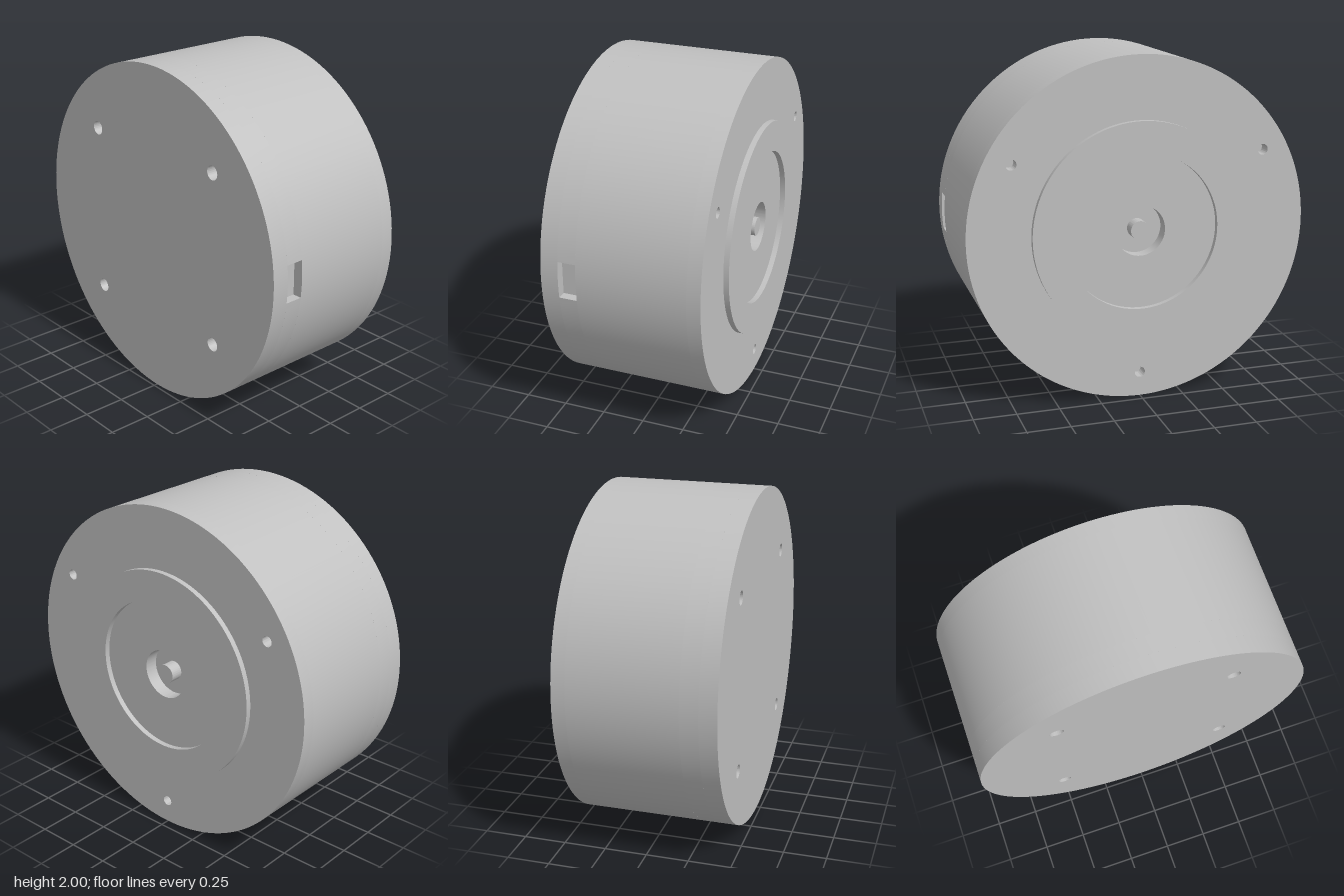
import * as THREE from 'three';
import { toCreasedNormals } from 'three/addons/utils/BufferGeometryUtils.js';

const Z = { rim: -0.477, back: -0.445, cavity: -0.365, slotBack: 0.27, slotFront: 0.375, front: 0.477 };

export function createModel() {
  const model = new THREE.Group();
  model.name = 'roundHousing';
  const grey = new THREE.MeshStandardMaterial({ color: 0xc0c0c0 });
  grey.name = 'plain grey';

  // Disc with round holes given as [x, y, radius]
  const disc = (radius, holes = []) => {
    const shape = new THREE.Shape().absarc(0, 0, radius, 0, Math.PI * 2, false);
    for (const [x, y, r] of holes) {
      shape.holes.push(new THREE.Path().absarc(x, y, r, 0, Math.PI * 2, true));
    }
    return shape;
  };

  // Extrude an outline between two depths, with crisp edges and smooth walls
  const slab = (name, shape, z0, z1) => {
    const geo = new THREE.ExtrudeGeometry(shape, { depth: z1 - z0, bevelEnabled: false, curveSegments: 64 });
    geo.translate(0, 1, z0);
    const mesh = new THREE.Mesh(toCreasedNormals(geo, 0.5), grey);
    mesh.name = name;
    model.add(mesh);
  };

  // Back plate: three screw holes around a central cavity
  const backHoles = [[0, 0, 0.147]];
  for (const degrees of [30, 150, 270]) {
    const a = THREE.MathUtils.degToRad(degrees);
    backHoles.push([0.855 * Math.cos(a), 0.855 * Math.sin(a), 0.031]);
  }
  slab('backPlate', disc(1, backHoles), Z.back, Z.cavity);

  // Solid middle of the drum
  slab('drumBody', disc(1), Z.cavity, Z.slotBack);

  // Layer with a rectangular port notched into its side
  const half = 0.11;
  const a = Math.asin(half);
  const notched = new THREE.Shape();
  notched.absarc(0, 0, 1, a, Math.PI * 2 - a, false);
  notched.lineTo(0.94, -half);
  notched.lineTo(0.94, half);
  notched.closePath();
  slab('portLayer', notched, Z.slotBack, Z.slotFront);

  // Front plate with four mounting holes
  const frontHoles = [];
  for (const x of [-0.515, 0.515]) for (const y of [-0.515, 0.515]) frontHoles.push([x, y, 0.041]);
  slab('frontPlate', disc(1, frontHoles), Z.slotFront, Z.front);

  // Raised ring on the back and the pin in the cavity
  slab('backRing', disc(0.635, [[0, 0, 0.455]]), Z.rim, Z.back);
  slab('centrePin', disc(0.055), -0.44, Z.cavity);

  return model;
}
